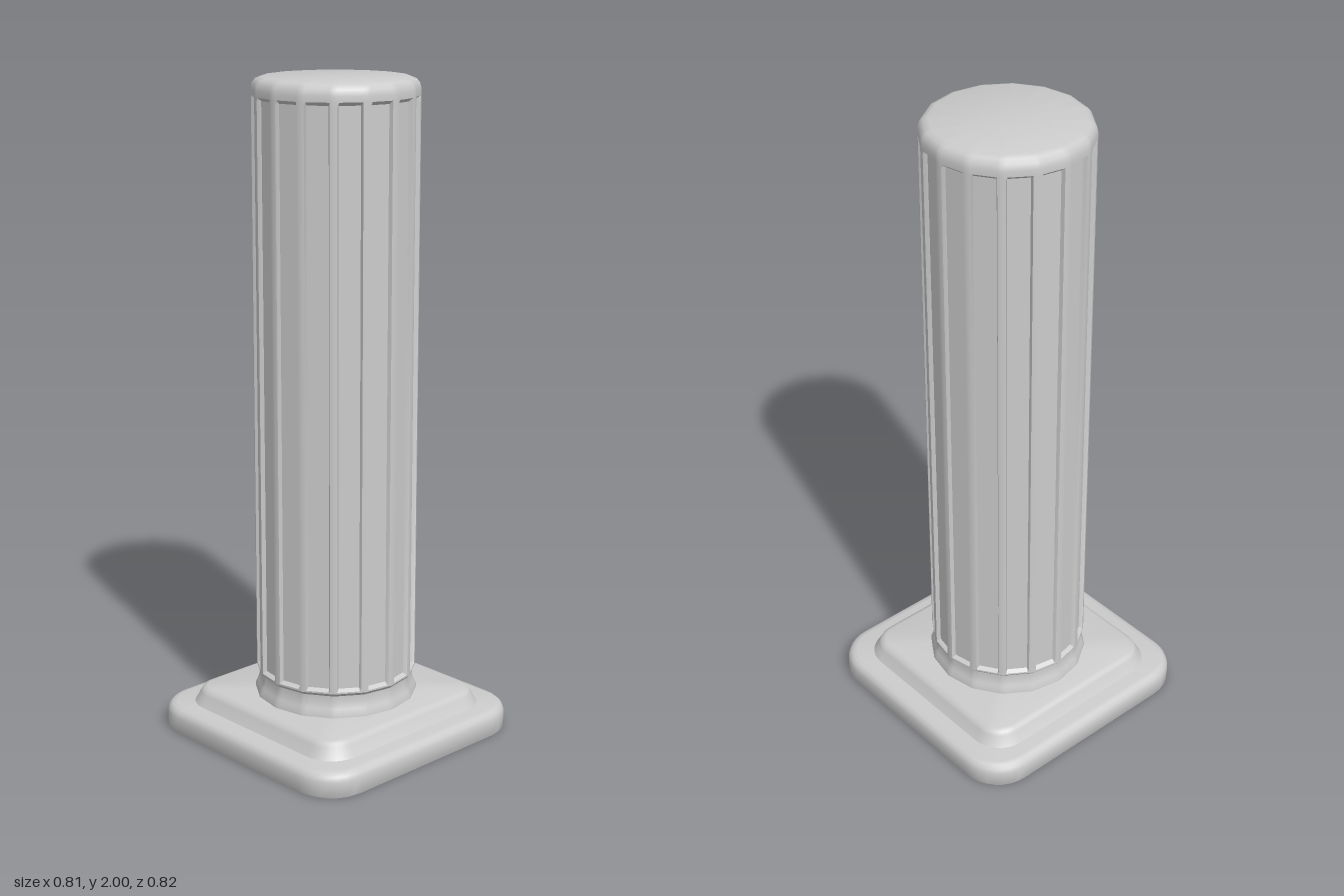
import * as THREE from 'three';
import { toCreasedNormals } from 'three/addons/utils/BufferGeometryUtils.js';

const material = new THREE.MeshStandardMaterial({ color: 0xcccccc });
const SIDES = 16;

// Skins a stack of closed rings (bottom to top) and caps both ends
function loft(rings, crease) {
  const n = rings[0].length, pos = [], index = [];
  rings.forEach(ring => ring.forEach(p => pos.push(...p)));
  for (let i = 0; i < rings.length - 1; i++) {
    for (let j = 0; j < n; j++) {
      const a = i * n + j, b = i * n + (j + 1) % n;
      index.push(a, b, b + n, a, b + n, a + n);
    }
  }
  const last = rings.length - 1;
  const bottom = rings.length * n, top = bottom + 1;
  pos.push(0, rings[0][0][1], 0, 0, rings[last][0][1], 0);
  for (let j = 0; j < n; j++) {
    const k = (j + 1) % n;
    index.push(bottom, k, j, top, last * n + j, last * n + k);
  }
  const geometry = new THREE.BufferGeometry();
  geometry.setAttribute('position', new THREE.Float32BufferAttribute(pos, 3));
  geometry.setIndex(index);
  return toCreasedNormals(geometry, crease);
}

// Rounded rectangle at height y
function roundedRing(y, halfX, halfZ, radius, steps = 8) {
  const ring = [];
  for (let q = 0; q < 4; q++) {
    const mid = (q + 0.5) * Math.PI / 2;
    for (let s = 0; s <= steps; s++) {
      const a = (q + s / steps) * Math.PI / 2;
      ring.push([
        Math.sign(Math.sin(mid)) * (halfX - radius) + Math.sin(a) * radius,
        y,
        Math.sign(Math.cos(mid)) * (halfZ - radius) + Math.cos(a) * radius,
      ]);
    }
  }
  return ring;
}

// Polygon at height y; each side may be pressed inward between the ridges
function shaftRing(y, radius, depth) {
  const ring = [];
  const profile = [[0, 0], [0.12, 0], [0.17, 1], [0.5, 1], [0.83, 1], [0.88, 0]];
  for (let i = 0; i < SIDES; i++) {
    const a0 = i / SIDES * Math.PI * 2, a1 = (i + 1) / SIDES * Math.PI * 2;
    const mid = (a0 + a1) / 2;
    for (const [t, press] of profile) {
      const x = THREE.MathUtils.lerp(Math.sin(a0), Math.sin(a1), t) * radius;
      const z = THREE.MathUtils.lerp(Math.cos(a0), Math.cos(a1), t) * radius;
      ring.push([x - Math.sin(mid) * depth * press, y, z - Math.cos(mid) * depth * press]);
    }
  }
  return ring;
}

export function createModel() {
  const group = new THREE.Group();
  const add = (name, geometry) => {
    const mesh = new THREE.Mesh(geometry, material);
    mesh.name = name;
    group.add(mesh);
  };

  // Square slab with rounded corners and a softened top edge: [y, inset]
  add('baseSlab', loft([
    [0, 0.003], [0.006, 0], [0.05, 0], [0.064, 0.005], [0.073, 0.015], [0.076, 0.03],
  ].map(([y, inset]) => roundedRing(y, 0.405 - inset, 0.412 - inset, 0.13 - inset)), 0.8));

  // Sloping step on top of the slab
  add('baseStep', loft([
    [0.07, -0.008], [0.08, 0], [0.108, 0.015], [0.12, 0.022], [0.125, 0.036],
  ].map(([y, inset]) => roundedRing(y, 0.333 - inset, 0.338 - inset, 0.095 - inset)), 0.9));

  // Flared foot, fluted shaft and rounded top: [y, radius, flute depth]
  add('flutedShaft', loft([
    [0.12, 0.25, 0], [0.135, 0.249, 0], [0.15, 0.242, 0], [0.17, 0.236, 0],
    [0.19, 0.236, 0], [0.2, 0.245, 0], [0.205, 0.245, 0], [0.213, 0.245, 0.012],
    [1.938, 0.245, 0.012], [1.948, 0.245, 0], [1.965, 0.245, 0], [1.982, 0.241, 0],
    [1.994, 0.231, 0], [2, 0.215, 0],
  ].map(args => shaftRing(...args)), 0.7));

  return group;
}
